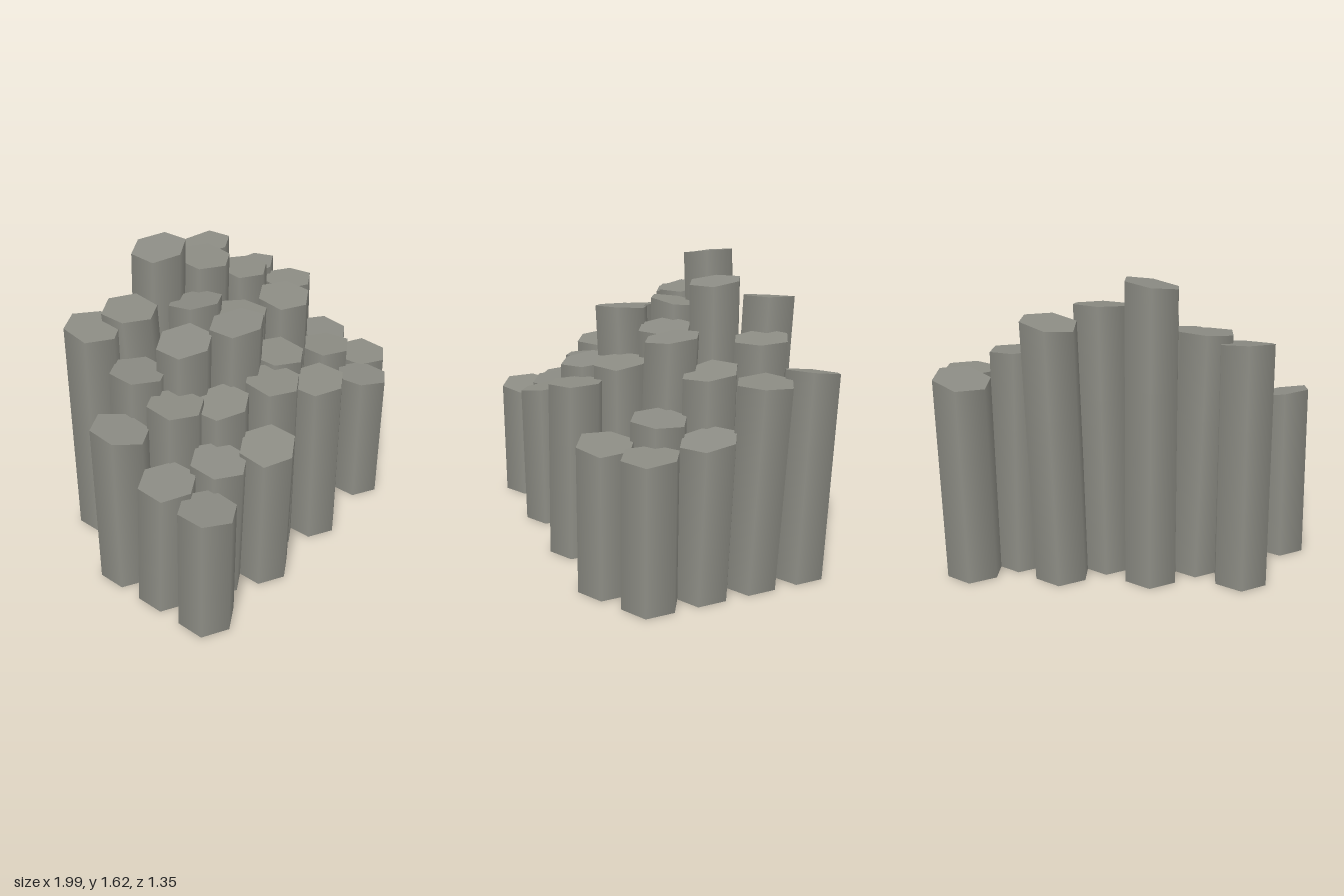
import * as THREE from 'three';

const RADIUS = 0.155;
const PITCH_X = 0.243, PITCH_Z = 0.284;

// Top of each column: x, z, height, slope along x, slope along z; one file per group
const TOPS = [
  [[-0.845, -0.06, 0.94, -0.1, -0.1], [-0.84, 0.25, 0.76, 0, -0.05], [-0.84, 0.51, 0.71, -0.13, -0.08]],
  [[-0.615, -0.45, 1.31, 0, -0.15], [-0.58, -0.17, 1.12, -0.15, -0.1],
    [-0.585, 0.09, 1.03, -0.07, -0.05], [-0.59, 0.38, 0.8, 0.05, -0.05]],
  [[-0.41, -0.38, 1.34, 0, -0.1], [-0.38, -0.02, 1.26, 0.08, -0.08],
    [-0.385, 0.23, 0.985, 0.08, -0.03], [-0.36, 0.515, 0.83, 0.1, -0.12]],
  [[-0.13, -0.41, 1.6, 0.1, -0.07], [-0.09, -0.19, 1.33, -0.1, 0.1],
    [-0.13, 0.13, 1.32, 0.04, 0.03], [-0.1, 0.35, 1.04, -0.05, -0.15]],
  [[0.14, -0.32, 1.47, -0.05, -0.15], [0.11, -0.03, 1.24, -0.08, -0.08],
    [0.11, 0.23, 1.06, -0.05, -0.1], [0.12, 0.49, 0.98, 0.02, -0.05]],
  [[0.385, -0.52, 1.41, 0.12, 0.08], [0.4, 0.055, 1.25, 0, -0.15]],
  [[0.57, -0.375, 1.245, -0.05, -0.1], [0.595, -0.07, 1.105, -0.05, -0.18],
    [0.61, 0.22, 0.895, -0.08, 0], [0.59, 0.5, 0.785, -0.1, 0]],
  [[0.84, -0.52, 1.115, 0.1, 0.1], [0.86, -0.24, 1.1, 0, 0],
    [0.84, 0.055, 0.835, -0.08, -0.2], [0.82, 0.355, 0.78, -0.02, -0.05]],
];

// Open-bottomed hexagonal tube with an uneven cap, leaning from its base to its top
function columnGeometry(baseX, baseZ, topX, topZ, height, slopeX, slopeZ) {
  const geometry = new THREE.CylinderGeometry(RADIUS, RADIUS, 1, 6, 3);
  geometry.translate(0, 0.5, 0);
  // Keep the sides and the upper cap, leave out the bottom
  const topGroup = geometry.groups[1];
  const indices = Array.from(geometry.index.array).slice(0, topGroup.start + topGroup.count);
  geometry.setIndex(indices);
  geometry.clearGroups();

  const position = geometry.attributes.position;
  const normal = geometry.attributes.normal;
  const capNormal = new THREE.Vector3(-slopeX, 1, -slopeZ).normalize();
  for (let i = 0; i < position.count; i++) {
    const x = position.getX(i), t = position.getY(i), z = position.getZ(i);
    // Small chips at the corners of the rim
    const chip = 0.012 * Math.sin(x * 31 + z * 47 + height * 90);
    position.setXYZ(
      i,
      x + THREE.MathUtils.lerp(baseX, topX, t),
      t * (height + slopeX * x + slopeZ * z + chip),
      z + THREE.MathUtils.lerp(baseZ, topZ, t)
    );
    if (normal.getY(i) > 0.5) normal.setXYZ(i, capNormal.x, capNormal.y, capNormal.z);
  }
  return geometry;
}

export function createModel() {
  const group = new THREE.Group();
  group.name = 'rockColumns';
  const stone = new THREE.MeshStandardMaterial({ color: 0x8c8c84, side: THREE.DoubleSide });
  stone.name = 'grey stone';

  TOPS.forEach((tops, file) => {
    // Staggered base grid: every other file is shifted by half a row
    const baseX = -0.865 + file * PITCH_X;
    const firstZ = file % 2 ? -0.485 : -0.343;
    tops.forEach(([topX, topZ, ...slope], i) => {
      const baseZ = firstZ + Math.round((topZ - firstZ) / PITCH_Z) * PITCH_Z;
      const column = new THREE.Mesh(columnGeometry(baseX, baseZ, topX, topZ, ...slope), stone);
      column.name = `stoneColumn${file + 1}_${i + 1}`;
      group.add(column);
    });
  });
  return group;
}
